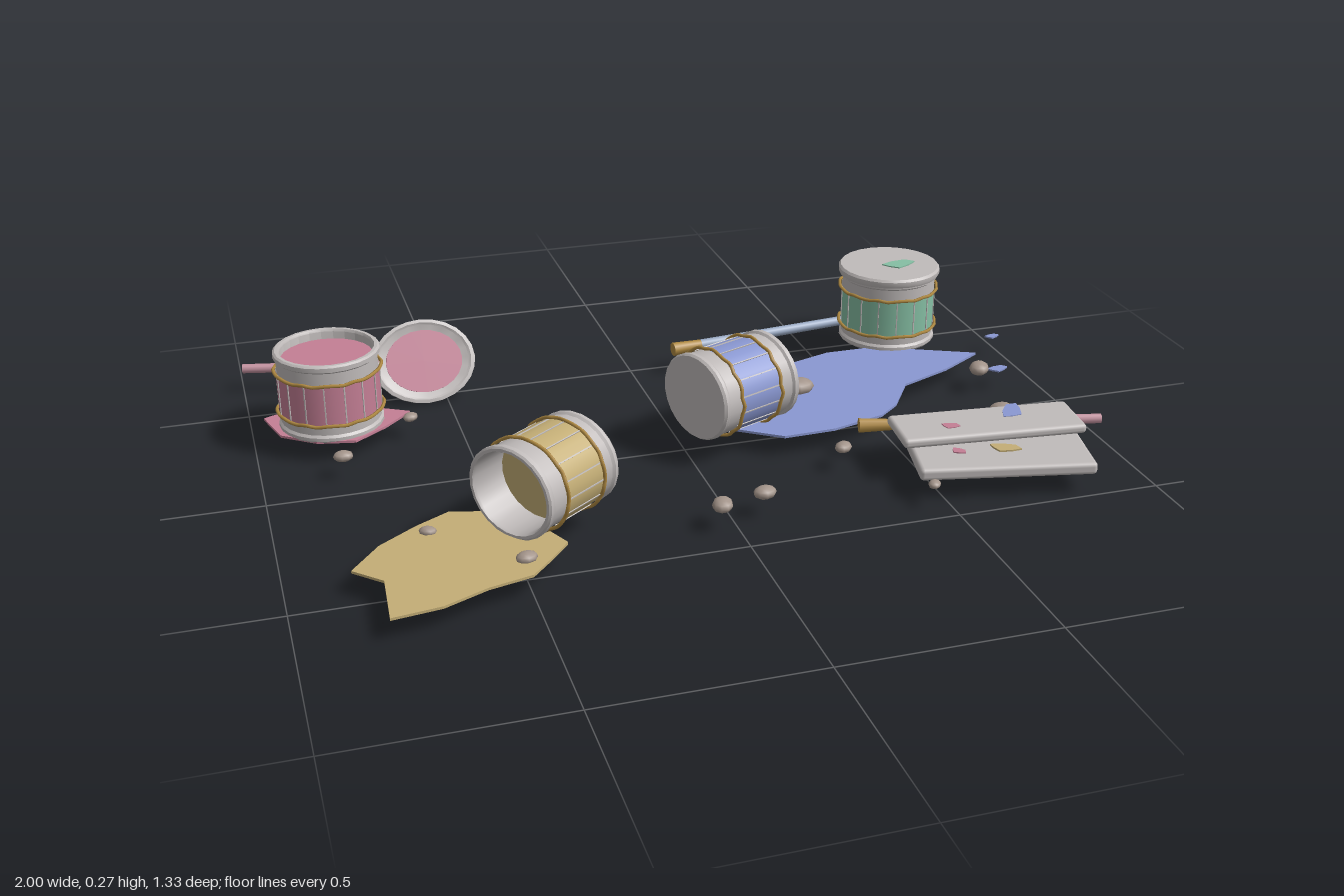
import * as THREE from 'three';
import { toCreasedNormals } from 'three/addons/utils/BufferGeometryUtils.js';
import { RoundedBoxGeometry } from 'three/addons/geometries/RoundedBoxGeometry.js';

const FLOOR = 0.05;

function mat(name, color) {
  const m = new THREE.MeshStandardMaterial({ color });
  m.name = name;
  return m;
}

export function createModel() {
  const root = new THREE.Group();
  root.name = 'spilledPaint';
  const M = {
    metal: mat('pale metal', 0xc0bbba), pink: mat('pink paint', 0xc47f95),
    blue: mat('blue paint', 0x8a98d2), yellow: mat('yellow paint', 0xc4ae76),
    green: mat('green paint', 0x86bfa4), gold: mat('gold trim', 0xb08a42),
    stone: mat('pebble', 0xa3948a), pinkWood: mat('pink handle', 0xc492a0),
    blueWood: mat('blue handle', 0x9aaac4),
  };

  function add(parent, name, geo, material, x = 0, y = 0, z = 0) {
    const mesh = new THREE.Mesh(geo, material);
    mesh.name = name;
    mesh.position.set(x, y, z);
    parent.add(mesh);
    return mesh;
  }

  function lathe(points) {
    const g = new THREE.LatheGeometry(points.map(p => new THREE.Vector2(p[0], p[1])), 24);
    return toCreasedNormals(g, 0.6);
  }

  // Can standing on its own origin, open at the top, filled to paintY
  function can(name, r, h, paint, paintY, lidded = false) {
    const g = new THREE.Group();
    g.name = name;
    const a = h * 0.23, b = h * 0.75, in_ = r * 0.87, floorY = 0.015;
    add(g, 'canShell', lathe([
      [0, 0], [r * 0.95, 0], [r * 0.99, 0.006], [r * 0.99, 0.014], [r * 0.95, 0.02],
      [r * 0.95, h - 0.02], [r, h - 0.015], [r, h - 0.004], [r * 0.96, h],
      [r * 0.9, h], [in_, h - 0.006], [in_, floorY], [0, floorY],
    ]), M.metal);
    add(g, 'label', new THREE.CylinderGeometry(r * 0.965, r * 0.965, b - a, 24, 1, true),
      paint, 0, (a + b) / 2, 0);
    // Pale seams around the label
    for (let i = 0; i < 16; i++) {
      const t = (i + 0.5) / 16 * Math.PI * 2;
      const s = add(g, 'labelSeam', new THREE.BoxGeometry(0.003, b - a, 0.003), M.metal,
        Math.sin(t) * r * 0.965, (a + b) / 2, Math.cos(t) * r * 0.965);
      s.rotation.y = t;
    }
    // Wavy gold bands
    for (const y of [a, b]) {
      const pts = [];
      for (let i = 0; i < 32; i++) {
        const t = i / 32 * Math.PI * 2;
        const w = Math.sin(i * 2.4) * 0.0025;
        pts.push(new THREE.Vector3(Math.cos(t) * (r + w * 0.5), y + w, Math.sin(t) * (r + w * 0.5)));
      }
      add(g, 'goldBand', new THREE.TubeGeometry(new THREE.CatmullRomCurve3(pts, true), 64, 0.0045, 5, true), M.gold);
    }
    if (lidded) {
      add(g, 'closedLid', lathe([[0, h - 0.01], [r * 1.02, h - 0.01], [r * 1.04, h - 0.004],
        [r * 1.04, h + 0.006], [r, h + 0.012], [0, h + 0.012]]), M.metal);
    } else {
      add(g, 'paintSurface', new THREE.CylinderGeometry(in_ + 0.001, in_ + 0.001, 0.006, 24), paint, 0, paintY, 0);
    }
    return g;
  }

  // Flat irregular patch from [x, z] corners
  function patch(parent, name, corners, material, y, depth = 0.006) {
    const s = new THREE.Shape(corners.map(([x, z]) => new THREE.Vector2(x, -z)));
    const geo = new THREE.ExtrudeGeometry(s, { depth, bevelEnabled: false });
    geo.rotateX(-Math.PI / 2);
    return add(parent, name, geo, material, 0, y, 0);
  }

  function splat(name, x, z, rx, rz, turn, material, y) {
    const k = [1, 0.75, 1.05, 0.7, 0.95, 0.8, 1.0];
    const pts = k.map((f, i) => {
      const t = i / k.length * Math.PI * 2, u = Math.cos(t) * rx * f, v = Math.sin(t) * rz * f;
      return [x + u * Math.cos(turn) - v * Math.sin(turn), z + u * Math.sin(turn) + v * Math.cos(turn)];
    });
    return patch(root, name, pts, material, y, 0.004);
  }

  // Standing cans
  const pinkCan = can('pinkCan', 0.128, 0.2, M.pink, 0.172);
  pinkCan.position.set(-0.81, FLOOR, -0.305);
  const greenCan = can('greenCan', 0.13, 0.195, M.green, 0.17, true);
  greenCan.position.set(0.705, FLOOR, -0.43);
  root.add(pinkCan, greenCan);
  splat('greenSplat', 0.725, -0.415, 0.05, 0.028, -0.1, M.green, 0.256);

  // Tipped cans, slightly squashed, with the open end along (dx, dz)
  function tipped(name, x, z, dx, dz, paint, paintY) {
    const holder = new THREE.Group();
    holder.name = name + 'Holder';
    const c = can(name, 0.117, 0.236, paint, paintY);
    const dir = new THREE.Vector3(dx, 0, dz).normalize();
    c.quaternion.setFromUnitVectors(new THREE.Vector3(0, 1, 0), dir);
    c.position.copy(dir).multiplyScalar(-0.118);
    holder.add(c);
    holder.position.set(x, 0.158, z);
    holder.scale.y = 0.92;
    root.add(holder);
  }
  tipped('blueCan', 0.12, -0.005, 0.92, -0.39, M.blue, 0.17);
  tipped('yellowCan', -0.418, 0.33, -0.8, 0.6, M.yellow, 0.14);

  // Puddles
  patch(root, 'pinkPuddle', [[-0.97, -0.36], [-0.84, -0.42], [-0.72, -0.41], [-0.69, -0.34], [-0.62, -0.3],
    [-0.69, -0.23], [-0.77, -0.17], [-0.86, -0.19], [-0.94, -0.25]], M.pink, FLOOR);
  patch(root, 'bluePuddle', [[0.08, -0.22], [0.2, -0.27], [0.35, -0.295], [0.5, -0.345], [0.62, -0.345],
    [0.73, -0.3], [0.88, -0.23], [0.76, -0.155], [0.62, -0.095], [0.55, 0.01], [0.49, 0.06],
    [0.35, 0.1], [0.22, 0.105], [0.1, 0.02], [0.1, -0.14]], M.blue, FLOOR);
  patch(root, 'yellowPuddle', [[-0.62, 0.25], [-0.7, 0.295], [-0.79, 0.36], [-0.86, 0.45], [-0.8, 0.51],
    [-0.81, 0.66], [-0.7, 0.645], [-0.6, 0.6], [-0.5, 0.575], [-0.45, 0.52], [-0.4, 0.46],
    [-0.45, 0.35], [-0.55, 0.27]], M.yellow, FLOOR);
  splat('blueDrop', 0.89, -0.12, 0.03, 0.018, -0.1, M.blue, FLOOR + 0.002);
  splat('blueDrop', 0.975, -0.33, 0.022, 0.013, -0.1, M.blue, FLOOR);

  // Loose lid, leaning back, with paint on its face
  const lid = new THREE.Group();
  lid.name = 'looseLid';
  add(lid, 'lidPlate', lathe([[0, -0.007], [0.125, -0.007], [0.132, -0.003], [0.132, 0.006],
    [0.122, 0.008], [0.116, 0.004], [0, 0.004]]), M.metal);
  add(lid, 'lidPaint', new THREE.CylinderGeometry(0.098, 0.098, 0.004, 24), M.pink, 0, 0.006, 0);
  lid.position.set(-0.55, 0.098, -0.5);
  lid.rotation.x = 1.08;
  lid.scale.z = 0.82;
  root.add(lid);

  // Brushes: gold tip at the first end, handle to the second
  function brush(name, x1, z1, x2, z2, y, wood) {
    const g = new THREE.Group();
    g.name = name;
    const len = Math.hypot(x2 - x1, z2 - z1);
    add(g, 'brushTip', new THREE.CylinderGeometry(0.014, 0.018, 0.08, 10), M.gold, 0, 0.04, 0);
    add(g, 'brushHandle', new THREE.CylinderGeometry(0.012, 0.014, len - 0.08, 10), wood, 0, (len + 0.08) / 2, 0);
    g.position.set(x1, y, z1);
    g.quaternion.setFromUnitVectors(new THREE.Vector3(0, 1, 0),
      new THREE.Vector3(x2 - x1, 0, z2 - z1).normalize());
    root.add(g);
  }
  brush('pinkBrush', -0.42, -0.53, -0.998, -0.66, 0.067, M.pinkWood);
  brush('blueBrush', 0.107, -0.46, 0.7, -0.533, 0.067, M.blueWood);
  brush('boardBrush', 0.39, 0.153, 0.965, 0.285, 0.083, M.pinkWood);

  // Two stacked boards with dabs of paint
  const lower = add(root, 'lowerBoard', new RoundedBoxGeometry(0.415, 0.03, 0.27, 2, 0.01), M.metal, 0.67, 0.065, 0.322);
  lower.rotation.y = -0.21;
  const upper = add(root, 'upperBoard', new RoundedBoxGeometry(0.45, 0.024, 0.145, 2, 0.01), M.metal, 0.667, 0.102, 0.272);
  upper.rotation.y = -0.1;
  splat('pinkDab', 0.57, 0.278, 0.024, 0.016, 0.4, M.pink, 0.112);
  splat('pinkDab', 0.562, 0.345, 0.02, 0.014, 0.9, M.pink, 0.079);
  splat('yellowDab', 0.672, 0.362, 0.04, 0.022, 0.5, M.yellow, 0.08);
  splat('blueDab', 0.745, 0.245, 0.046, 0.026, -0.9, M.blue, 0.112);

  // Pebbles: x, z, size, turn
  const pebbles = [[-0.625, -0.26, 0.02, 0.6], [-0.81, -0.087, 0.024, 0], [0.345, -0.14, 0.04, 0.1],
    [0.837, -0.12, 0.032, 1], [0.33, 0.207, 0.024, 0.7], [0.78, 0.135, 0.034, -0.5],
    [-0.035, 0.405, 0.03, 1.2], [0.075, 0.375, 0.028, 0.2], [-0.5, 0.507, 0.025, 0.3],
    [-0.68, 0.33, 0.02, -0.4], [0.46, 0.442, 0.018, 0.9]];
  for (const [x, z, s, turn] of pebbles) {
    const p = add(root, 'pebble', new THREE.SphereGeometry(1, 9, 6), M.stone, x, FLOOR + s * 0.4, z);
    p.scale.set(s, s * 0.55, s * 0.8);
    p.rotation.y = turn;
  }
  return root;
}
